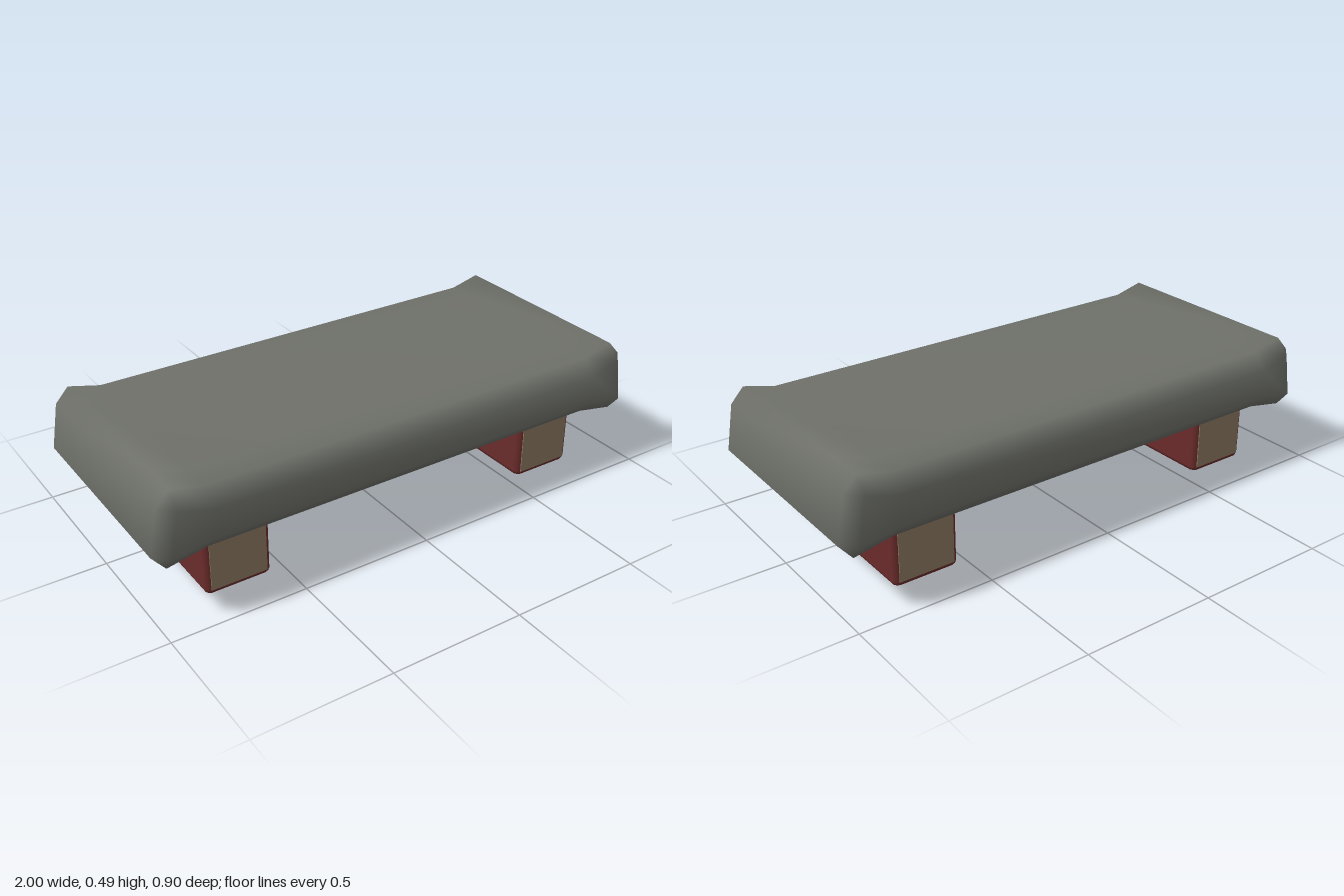
import * as THREE from 'three';
import { mergeVertices } from 'three/addons/utils/BufferGeometryUtils.js';
import { RoundedBoxGeometry } from 'three/addons/geometries/RoundedBoxGeometry.js';

// Slab stations on the +x half: [x, y] for the top, high side, low side and bottom lines, plus side z
const END = { top: [0.97, 0.435], high: [0.97, 0.435], low: [1, 0.265], bottom: [1, 0.265], z: 0.4 };
const LIP = { top: [0.92, 0.49], high: [0.92, 0.435], low: [0.95, 0.265], bottom: [0.95, 0.205], z: 0.45 };
const MID = { top: [0.8, 0.46], high: [0.8, 0.4], low: [0.8, 0.29], bottom: [0.8, 0.233], z: 0.45 };
const ACROSS = [-0.4, -0.28, 0.28, 0.4];

// One closed 12-point ring: top, front side, bottom, back side
function ring(s, side) {
  const p = ([x, y], z) => [x * side, y, z];
  return [
    ...ACROSS.map((z) => p(s.top, z)), p(s.high, s.z), p(s.low, s.z),
    ...ACROSS.map((z) => p(s.bottom, -z)), p(s.low, -s.z), p(s.high, -s.z),
  ];
}

function slabGeometry() {
  const rings = [ring(END, -1), ring(LIP, -1), ring(MID, -1), ring(MID, 1), ring(LIP, 1), ring(END, 1)];
  const n = 12, last = (rings.length - 1) * n, index = [];
  const quad = (a, b, c, d) => index.push(a, b, c, a, c, d);
  for (let i = 0; i < rings.length - 1; i++) {
    for (let j = 0; j < n; j++) {
      const k = (j + 1) % n;
      quad(i * n + j, i * n + k, (i + 1) * n + k, (i + 1) * n + j);
    }
  }
  // Sloping end faces
  for (let j = 0; j < 3; j++) {
    quad(last + j, last + j + 1, last + 8 - j, last + 9 - j);
    quad(j + 1, j, 9 - j, 8 - j);
  }
  let g = new THREE.BufferGeometry();
  g.setAttribute('position', new THREE.Float32BufferAttribute(rings.flat(2), 3));
  g.setIndex(index);
  g = mergeVertices(g);
  // Drop the collapsed corner triangles
  const t = Array.from(g.index.array), kept = [];
  for (let i = 0; i < t.length; i += 3) {
    const [a, b, c] = t.slice(i, i + 3);
    if (a !== b && b !== c && a !== c) kept.push(a, b, c);
  }
  g.setIndex(kept);
  g.computeVertexNormals();
  return g;
}

export function createModel() {
  const material = (name, color) => new THREE.MeshStandardMaterial({ name, color });
  const stone = material('grey stone', 0x6e7069);
  const red = material('dark red', 0x6a2b2b);
  const tan = material('tan', 0x8c7860);

  const model = new THREE.Group();
  model.name = 'lowBench';
  const add = (parent, name, geometry, mat, x, y, z) => {
    const mesh = new THREE.Mesh(geometry, mat);
    mesh.name = name;
    mesh.position.set(x, y, z);
    parent.add(mesh);
  };

  add(model, 'slab', slabGeometry(), stone, 0, 0, 0);

  // Two red bearers with tan ends
  const block = new RoundedBoxGeometry(0.248, 0.28, 0.72, 1, 0.022);
  const plate = new THREE.BoxGeometry(0.212, 0.24, 0.006);
  for (const [name, x] of [['rightLeg', -0.675], ['leftLeg', 0.662]]) {
    const leg = new THREE.Group();
    leg.name = name;
    leg.position.x = x;
    add(leg, 'legBlock', block, red, 0, 0.14, 0);
    add(leg, 'frontEndPanel', plate, tan, 0, 0.142, 0.359);
    add(leg, 'backEndPanel', plate, tan, 0, 0.142, -0.359);
    model.add(leg);
  }
  return model;
}
